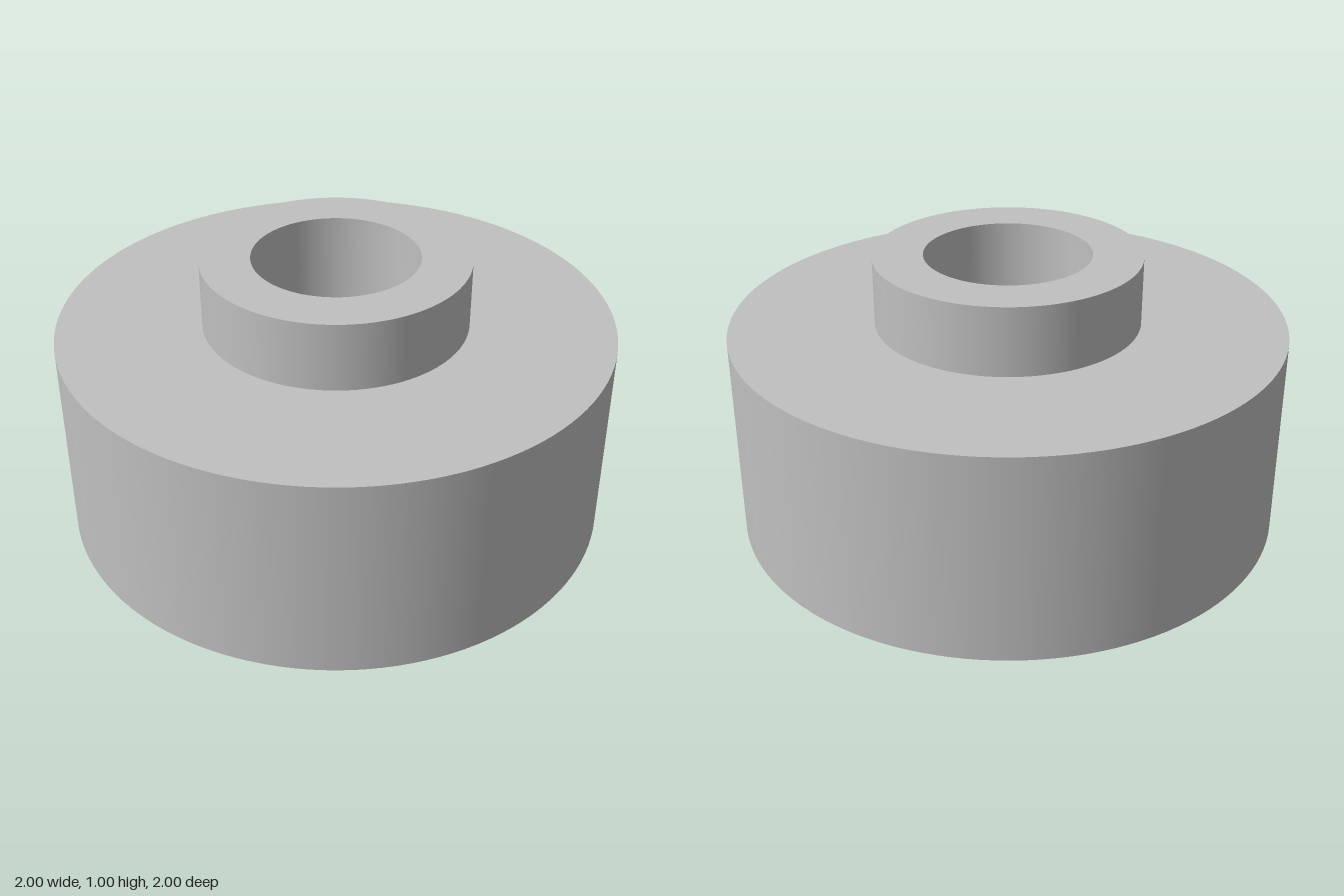
import * as THREE from 'three';

const SEGMENTS = 128;
const BODY_R = 1, BODY_H = 0.75;
const BOSS_R = 0.48, TOTAL_H = 1;
const BORE_R = 0.3;
const HEX_R = 0.572, HEX_DEPTH = 0.41;

// Closed outline: a circle, or a hexagon with corners on the x axis
function polygon(PathType, radius, sides) {
  const points = [];
  for (let i = 0; i < sides; i++) {
    const a = (i / sides) * Math.PI * 2;
    points.push(new THREE.Vector2(Math.cos(a) * radius, Math.sin(a) * radius));
  }
  return new PathType(points);
}

// Flat downward-facing plate with one opening
function downFace(outerR, outerSides, innerR, innerSides, y) {
  const shape = polygon(THREE.Shape, outerR, outerSides);
  shape.holes.push(polygon(THREE.Path, innerR, innerSides));
  return new THREE.ShapeGeometry(shape).rotateX(Math.PI / 2).translate(0, y, 0);
}

export function createModel() {
  const group = new THREE.Group();
  const grey = new THREE.MeshStandardMaterial({ color: 0xc0c0c0 });
  grey.name = 'grey';

  const add = (name, geometry) => {
    const mesh = new THREE.Mesh(geometry, grey);
    mesh.name = name;
    group.add(mesh);
  };

  // Turned surfaces, one straight profile run each so the edges stay sharp
  const profile = [
    [BODY_R, 0], [BODY_R, BODY_H], [BOSS_R, BODY_H],
    [BOSS_R, TOTAL_H], [BORE_R, TOTAL_H], [BORE_R, HEX_DEPTH],
  ].map(([r, y]) => new THREE.Vector2(r, y));
  ['bodySide', 'bodyTop', 'bossSide', 'bossTop', 'bore'].forEach((name, i) =>
    add(name, new THREE.LatheGeometry([profile[i], profile[i + 1]], SEGMENTS)));

  // Underside with the hexagonal nut pocket
  add('bodyBottom', downFace(BODY_R, SEGMENTS, HEX_R, 6, 0));
  add('pocketCeiling', downFace(HEX_R, 6, BORE_R, SEGMENTS, HEX_DEPTH));

  // Pocket walls: mirrored so they face inward, with flat normals
  const walls = new THREE.CylinderGeometry(HEX_R, HEX_R, HEX_DEPTH, 6, 1, true)
    .rotateY(Math.PI / 2)
    .translate(0, HEX_DEPTH / 2, 0)
    .scale(-1, 1, 1)
    .toNonIndexed();
  walls.computeVertexNormals();
  add('pocketWalls', walls);

  return group;
}
